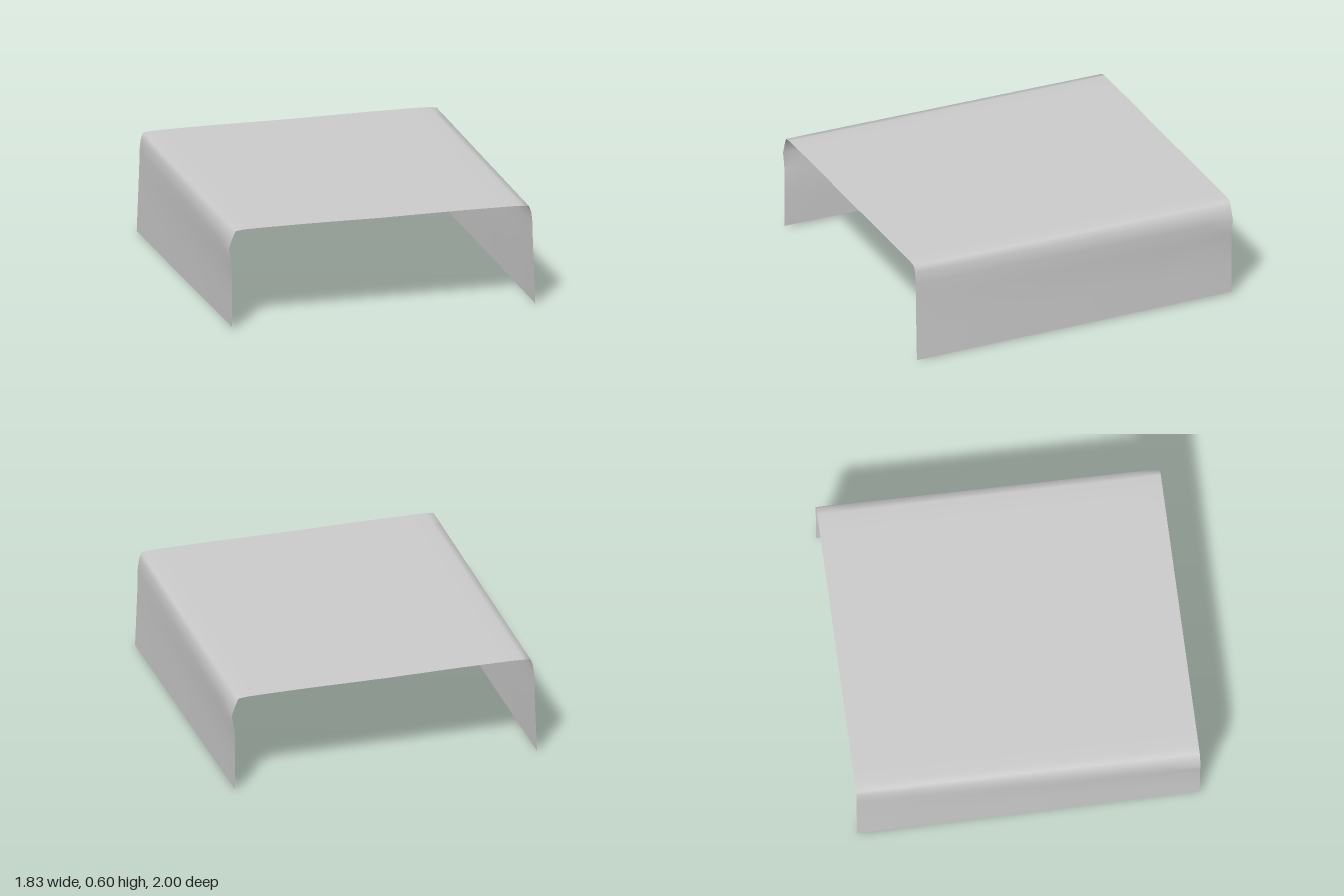
import * as THREE from 'three';

// Half cross-sections [x, y], from the top centre down to the hem
const STRAIGHT_END = [
  [0, 0.592], [0.45, 0.595], [0.74, 0.594], [0.83, 0.592], [0.872, 0.586],
  [0.886, 0.55], [0.894, 0.48], [0.895, 0.38], [0.903, 0.18], [0.91, 0.0],
];
const BULGED_END = [
  [0, 0.592], [0.45, 0.595], [0.74, 0.594], [0.83, 0.592], [0.876, 0.586],
  [0.895, 0.54], [0.916, 0.48], [0.896, 0.38], [0.896, 0.18], [0.897, 0.015],
];
const STEPS = 12;

// Full section across the sheet, from the -x hem to the +x hem; t = 0 front, 1 back.
// The bulge swaps sides along the length, so the sheet has half-turn symmetry.
function section(t) {
  const side = (a, b, u, s) =>
    a.map(([x, y], i) => [
      s * THREE.MathUtils.lerp(x, b[i][0], u),
      THREE.MathUtils.lerp(y, b[i][1], u),
    ]);
  const left = side(STRAIGHT_END, BULGED_END, t, 1);
  const right = side(BULGED_END, STRAIGHT_END, t, -1);
  return [...right.reverse(), ...left.slice(1)];
}

function sheetGeometry() {
  const positions = [];
  const index = [];
  const cols = STRAIGHT_END.length * 2 - 1;
  for (let j = 0; j <= STEPS; j++) {
    const t = j / STEPS;
    for (const [x, y] of section(t)) {
      // The ends are cut slightly out of square
      const skew = 0.009 * (x / 0.9);
      positions.push(x, y, THREE.MathUtils.lerp(0.99, -0.99, t) - skew);
    }
  }
  for (let j = 0; j < STEPS; j++) {
    for (let i = 0; i < cols - 1; i++) {
      const a = j * cols + i;
      const b = a + cols;
      index.push(a, a + 1, b + 1, a, b + 1, b);
    }
  }
  const geometry = new THREE.BufferGeometry();
  geometry.setAttribute('position', new THREE.Float32BufferAttribute(positions, 3));
  geometry.setIndex(index);
  geometry.computeVertexNormals();
  return geometry;
}

export function createModel() {
  const group = new THREE.Group();
  group.name = 'foldedCover';
  const material = new THREE.MeshStandardMaterial({ color: 0xcccccc, side: THREE.DoubleSide });
  // One thin sheet: flat top with both sides folded down
  const sheet = new THREE.Mesh(sheetGeometry(), material);
  sheet.name = 'coverSheet';
  group.add(sheet);
  return group;
}
